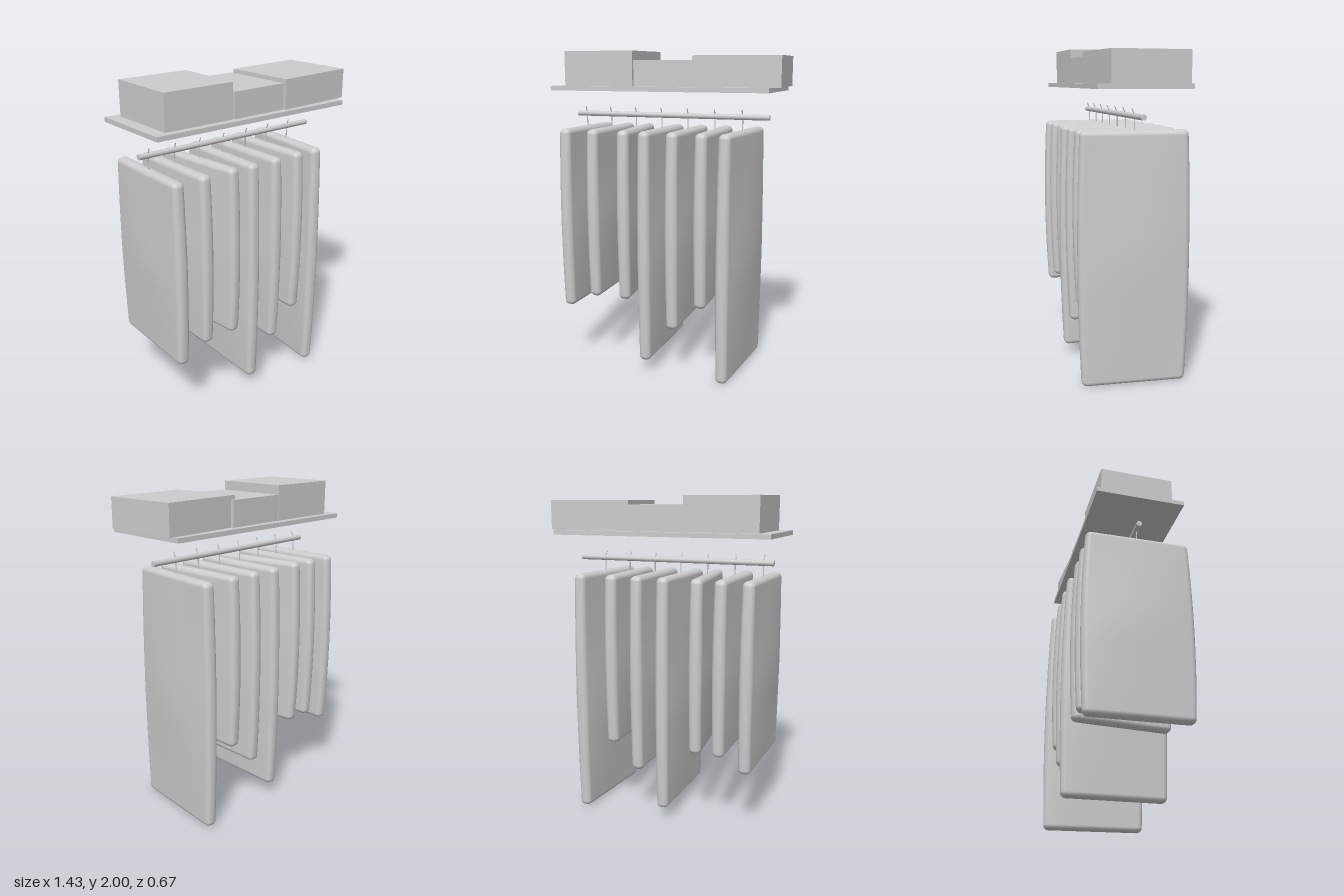
import * as THREE from 'three';
import { mergeVertices } from 'three/addons/utils/BufferGeometryUtils.js';

const grey = new THREE.MeshStandardMaterial({ color: 0xcccccc });
grey.name = 'plain grey';

function add(parent, name, geometry, x, y, z) {
  const mesh = new THREE.Mesh(geometry, grey);
  mesh.name = name;
  mesh.position.set(x, y, z);
  parent.add(mesh);
  return mesh;
}

// Padded slab: a box with rounded edges whose broad sides swell towards the middle
function slabGeometry(halfX, halfY, halfZ, radius, swell) {
  const N = 7, round = 3, flat = N - round;
  const geo = new THREE.BoxGeometry(2, 2, 2, 2 * N, 2 * N, 2 * N);
  geo.deleteAttribute('uv');
  geo.deleteAttribute('normal');
  const pos = geo.attributes.position;
  const inner = new THREE.Vector3(halfX - radius, halfY - radius, halfZ - radius);
  const p = new THREE.Vector3(), q = new THREE.Vector3();
  const remap = (u, size) => {
    const k = Math.abs(u) * N;
    const v = k <= flat ? size * k / flat : size + radius * Math.tan((k - flat) / round * Math.PI / 4);
    return Math.sign(u) * v;
  };
  for (let i = 0; i < pos.count; i++) {
    p.set(remap(pos.getX(i), inner.x), remap(pos.getY(i), inner.y), remap(pos.getZ(i), inner.z));
    q.copy(p).clamp(inner.clone().negate(), inner);
    p.sub(q).setLength(radius).add(q);
    const t = Math.min(1, Math.abs(p.y) / halfY), s = Math.min(1, Math.abs(p.z) / halfZ);
    p.x *= 1 + swell / halfX * (1 - t) * (1 - s * s);
    p.z *= 1 + 0.06 * (1 - t * t);
    pos.setXYZ(i, p.x, p.y, p.z);
  }
  const merged = mergeVertices(geo, 1e-5);
  merged.computeVertexNormals();
  return merged;
}

export function createModel() {
  const model = new THREE.Group();
  model.name = 'hangingRack';

  // Shelf with three boxes standing on it
  add(model, 'shelf', new THREE.BoxGeometry(1.375, 0.028, 0.546), -0.03, 1.776, 0);
  const boxes = [ // x, width, height, turn
    [-0.412, 0.455, 0.21, 0],
    [0.015, 0.39, 0.155, 0.02],
    [0.4425, 0.515, 0.18, 0.058],
  ];
  for (const [x, w, h, turn] of boxes) {
    add(model, 'storageBox', new THREE.BoxGeometry(w, h, 0.456), x, 1.79 + h / 2, 0).rotation.y = turn;
  }

  // Hanging rail
  add(model, 'rail', new THREE.CylinderGeometry(0.017, 0.017, 1.28, 12), -0.033, 1.608, 0).rotation.z = Math.PI / 2;

  // Garments, each with its wire hook
  const top = 1.53;
  const garments = [ // bottom, turn, swell, half depth
    [0.385, -0.016, 0.025, 0.312],
    [0.465, 0.016, 0.024, 0.308],
    [0.465, 0.113, 0.024, 0.306],
    [0.08, -0.01, 0.032, 0.315],
    [0.31, 0.003, 0.027, 0.312],
    [0.465, 0.02, 0.025, 0.308],
    [0.003, -0.088, 0.032, 0.316],
  ];
  garments.forEach(([bottom, turn, swell, depth], i) => {
    const hanger = new THREE.Group();
    hanger.name = 'hangingGarment';
    hanger.position.x = -0.61 + i * 0.175;
    hanger.rotation.y = turn;
    model.add(hanger);
    add(hanger, 'garment', slabGeometry(0.037, (top - bottom) / 2, depth, 0.03, swell), 0, (top + bottom) / 2, 0);
    add(hanger, 'hookStem', new THREE.CylinderGeometry(0.0035, 0.0035, 0.1, 6), 0, 1.565, 0);
    add(hanger, 'hookTip', new THREE.CylinderGeometry(0.0035, 0.0035, 0.045, 6), 0, 1.632, 0.008).rotation.x = 0.4;
  });

  return model;
}
